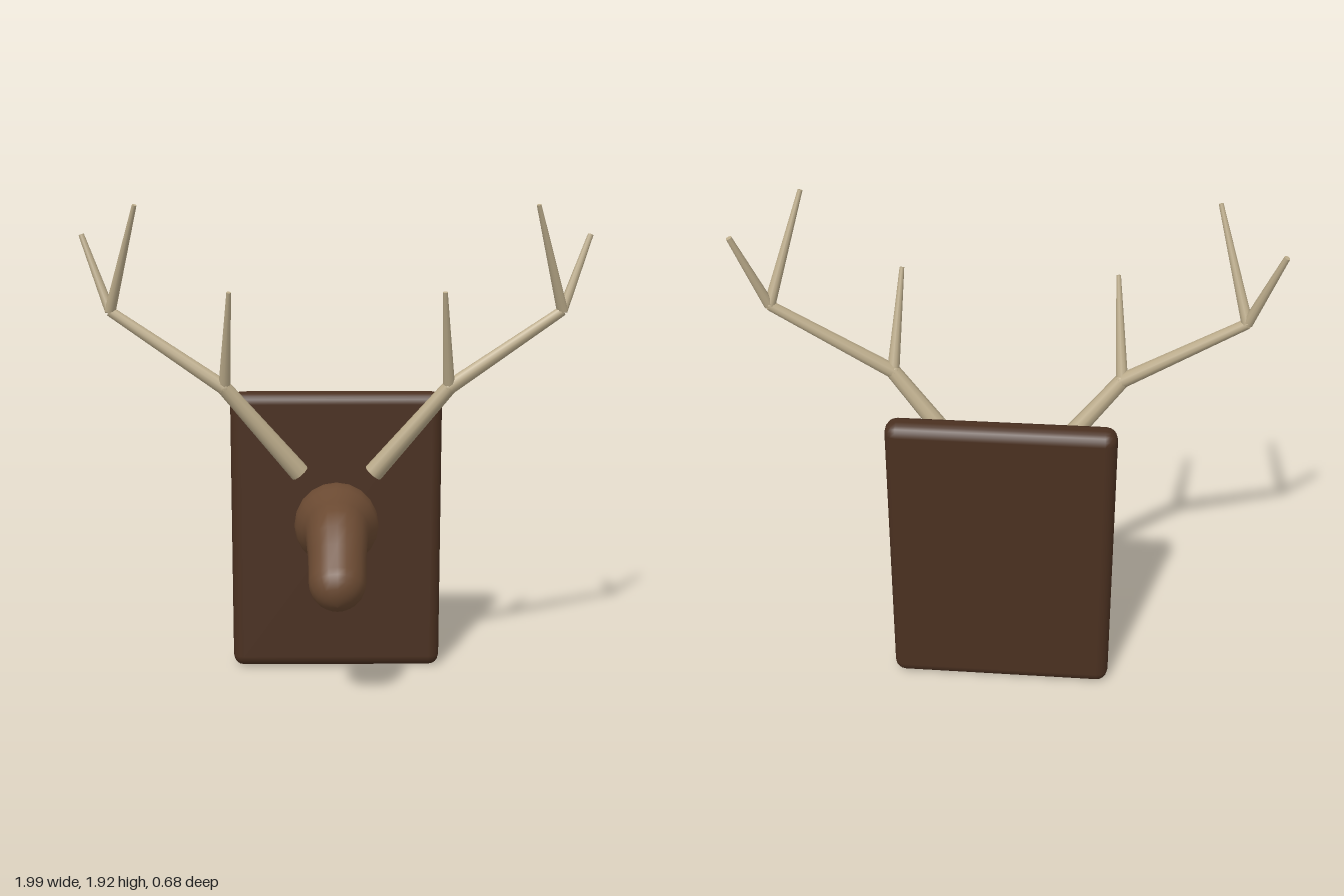
import * as THREE from 'three';
import { RoundedBoxGeometry } from 'three/addons/geometries/RoundedBoxGeometry.js';

const wood = new THREE.MeshStandardMaterial({ color: 0x4a3020 });
const hide = new THREE.MeshStandardMaterial({ color: 0x6b4a32 });
const bone = new THREE.MeshStandardMaterial({ color: 0xbcac8b });

function addMesh(parent, name, geometry, material) {
  const mesh = new THREE.Mesh(geometry, material);
  mesh.name = name;
  parent.add(mesh);
  return mesh;
}

// Tapered round branch between two points
function branch(parent, name, from, to, r0, r1) {
  const a = new THREE.Vector3(...from), b = new THREE.Vector3(...to);
  const dir = b.clone().sub(a);
  const mesh = addMesh(parent, name, new THREE.CylinderGeometry(r1, r0, dir.length(), 10), bone);
  mesh.position.copy(a).add(b).multiplyScalar(0.5);
  mesh.quaternion.setFromUnitVectors(new THREE.Vector3(0, 1, 0), dir.normalize());
}

// Skin over round sections, each [z, y, radius, downward tilt]
function loft(sections, sides) {
  const pos = [], index = [];
  sections.forEach(([z, y, r, tilt], i) => {
    for (let j = 0; j < sides; j++) {
      const a = (j / sides) * Math.PI * 2, up = r * Math.sin(a);
      pos.push(r * Math.cos(a), y + up * Math.cos(tilt), z + up * Math.sin(tilt));
      if (i === sections.length - 1) continue;
      const p = i * sides + j, q = i * sides + (j + 1) % sides;
      index.push(p, q, q + sides, p, q + sides, p + sides);
    }
  });
  const geo = new THREE.BufferGeometry();
  geo.setAttribute('position', new THREE.Float32BufferAttribute(pos, 3));
  geo.setIndex(index);
  geo.computeVertexNormals();
  return geo;
}

export function createModel() {
  const model = new THREE.Group();
  model.name = 'mountedAntlers';

  // Wall plaque
  const plaque = addMesh(model, 'plaque', new RoundedBoxGeometry(0.86, 1.16, 0.11, 2, 0.045), wood);
  plaque.position.set(0, 0.58, -0.285);

  // Neck swelling, then muzzle bending down to a round nose
  const tilt = 0.72;
  const sections = [
    [-0.25, 0.64, 0.135, 0], [-0.21, 0.64, 0.155, 0], [-0.17, 0.64, 0.168, 0],
    [-0.13, 0.64, 0.17, 0], [-0.09, 0.64, 0.161, 0], [-0.04, 0.643, 0.141, 0],
    [0.01, 0.646, 0.128, 0.05], [0.06, 0.645, 0.122, 0.33], [0.1, 0.622, 0.118, 0.6],
    [0.15, 0.58, 0.112, tilt],
  ];
  for (let k = 0; k <= 6; k++) {
    const a = (k / 6) * Math.PI / 2, d = 0.11 * Math.sin(a);
    sections.push([0.23 + d * Math.cos(tilt), 0.51 - d * Math.sin(tilt), Math.max(0.11 * Math.cos(a), 0.0005), tilt]);
  }
  addMesh(model, 'head', loft(sections, 20), hide);

  // Mirrored antlers
  for (const s of [1, -1]) {
    const antler = new THREE.Group();
    antler.name = s > 0 ? 'leftAntler' : 'rightAntler';
    model.add(antler);
    const base = [s * 0.145, 0.868, -0.078], fork = [s * 0.435, 1.22, -0.02], crown = [s * 0.875, 1.51, -0.08];
    branch(antler, 'lowerBeam', base, fork, 0.039, 0.029);
    branch(antler, 'upperBeam', fork, crown, 0.029, 0.02);
    branch(antler, 'browTine', fork, [s * 0.405, 1.6, 0.1], 0.024, 0.009);
    branch(antler, 'innerTine', crown, [s * 0.755, 1.92, 0.04], 0.022, 0.009);
    branch(antler, 'outerTine', crown, [s * 0.985, 1.8, -0.138], 0.02, 0.011);
    // Rounded joint at the fork
    addMesh(antler, 'forkJoint', new THREE.SphereGeometry(0.029, 10, 8), bone).position.set(...fork);
  }
  return model;
}
